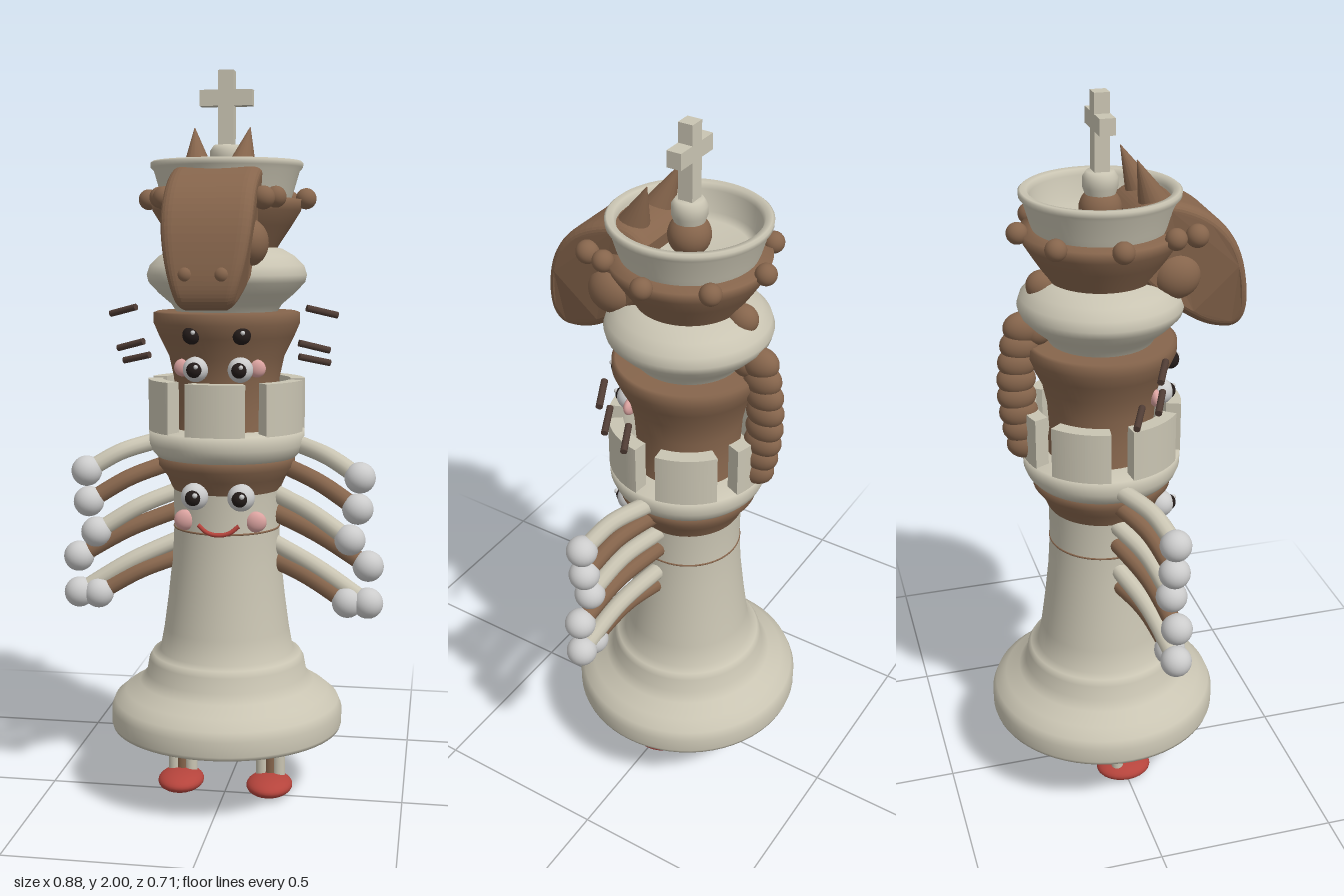
import * as THREE from 'three';

const mat = (color) => new THREE.MeshStandardMaterial({ color, side: THREE.DoubleSide });
const CREAM = mat(0xc9c4b2), BROWN = mat(0x86654c), WHITE = mat(0xd8d8dc), DARK = mat(0x241c1a),
  RED = mat(0xb5443c), PINK = mat(0xdba3a0), STICK = mat(0x4f3c34);
const AXIS = -0.035; // z of the column axis

export function createModel() {
  const root = new THREE.Group();
  const v = (x, y, z) => new THREE.Vector3(x, y, z);

  const add = (name, geo, material, x = 0, y = 0, z = 0) => {
    const m = new THREE.Mesh(geo, material);
    m.name = name;
    m.position.set(x, y, z);
    root.add(m);
    return m;
  };
  const ball = (name, r, material, x, y, z, sx = 1, sy = 1, sz = 1) => {
    const m = add(name, new THREE.SphereGeometry(r, 24, 16), material, x, y, z);
    m.scale.set(sx, sy, sz);
    return m;
  };
  const lathe = (name, pts, material) =>
    add(name, new THREE.LatheGeometry(pts.map(([r, y]) => new THREE.Vector2(r, y)), 64), material, 0, 0, AXIS);
  const rod = (name, a, b, r, material, r2 = r) => {
    const d = b.clone().sub(a);
    const m = add(name, new THREE.CylinderGeometry(r2, r, d.length(), 16), material);
    m.position.copy(a).addScaledVector(d, 0.5);
    m.quaternion.setFromUnitVectors(v(0, 1, 0), d.normalize());
    return m;
  };
  const tube = (name, pts, r, material) =>
    add(name, new THREE.TubeGeometry(new THREE.CatmullRomCurve3(pts), 20, r, 12), material);

  // Base and stem
  lathe('baseAndStem', [[0, 0.2], [0.322, 0.2], [0.325, 0.21], [0.325, 0.25], [0.315, 0.275], [0.285, 0.3], [0.245, 0.325],
    [0.225, 0.35], [0.218, 0.39], [0.208, 0.407], [0.187, 0.415], [0.175, 0.48], [0.163, 0.57], [0.152, 0.67],
    [0.146, 0.77], [0.147, 0.86], [0.15, 0.9]], CREAM);
  lathe('baseUnderside', [[0, 0.198], [0.315, 0.198]], BROWN);
  const seam = add('stemSeam', new THREE.TorusGeometry(0.1455, 0.003, 8, 64), BROWN, 0, 0.767, AXIS);
  seam.rotation.x = Math.PI / 2;

  // Stacked brown and cream sections
  lathe('lowerBrownFlare', [[0.14, 0.86], [0.152, 0.88], [0.165, 0.91], [0.188, 0.94], [0.19, 0.97], [0.15, 0.98]], BROWN);
  lathe('towerCollar', [[0.15, 0.965], [0.192, 0.965], [0.205, 0.98], [0.213, 1.0], [0.215, 1.04], [0.13, 1.045]], CREAM);
  lathe('middleBrownFlare', [[0.15, 1.03], [0.14, 1.1], [0.145, 1.18], [0.158, 1.24], [0.185, 1.295], [0.2, 1.33],
    [0.2, 1.358], [0.19, 1.362], [0.1, 1.362]], BROWN);
  lathe('creamBulge', [[0.135, 1.355], [0.15, 1.38], [0.185, 1.41], [0.213, 1.44], [0.218, 1.46], [0.21, 1.485],
    [0.185, 1.51], [0.15, 1.53], [0.1, 1.54]], CREAM);
  lathe('upperBrownFlare', [[0.125, 1.51], [0.145, 1.545], [0.175, 1.59], [0.2, 1.63], [0.207, 1.66], [0.17, 1.665]], BROWN);
  lathe('topCup', [[0.165, 1.64], [0.18, 1.68], [0.196, 1.735], [0.205, 1.745], [0.206, 1.757], [0.2, 1.762],
    [0.184, 1.76], [0.178, 1.745], [0.168, 1.69], [0.15, 1.675], [0, 1.67]], CREAM);

  // Battlements
  const half = 22 * Math.PI / 180;
  for (let i = 0; i < 6; i++) {
    const a = -Math.PI / 2 + i * Math.PI / 3;
    const s = new THREE.Shape();
    s.absarc(0, 0, 0.215, a - half, a + half, false);
    s.absarc(0, 0, 0.175, a + half, a - half, true);
    const g = new THREE.ExtrudeGeometry(s, { depth: 0.14, bevelEnabled: false, curveSegments: 12 });
    g.rotateX(-Math.PI / 2);
    add('battlement', g, CREAM, 0, 1.038, AXIS);
  }

  // Ring of beads around the crown
  for (let i = 0; i < 8; i++) {
    const a = i * Math.PI / 4;
    ball('crownBead', 0.028, BROWN, 0.215 * Math.sin(a), 1.662, AXIS + 0.215 * Math.cos(a));
  }

  // Finial and cross
  ball('finialBall', 0.055, BROWN, 0, 1.71, AXIS);
  lathe('finialCollar', [[0.03, 1.72], [0.045, 1.765], [0.045, 1.79], [0.035, 1.805], [0, 1.807]], CREAM);
  add('crossPost', new THREE.BoxGeometry(0.042, 0.21, 0.04), CREAM, 0, 1.895, AXIS);
  add('crossBar', new THREE.BoxGeometry(0.142, 0.042, 0.04), CREAM, 0, 1.928, AXIS);

  // Horse head: side profile (z, y) extruded across x, narrowing to the muzzle
  const head = new THREE.Shape();
  head.moveTo(0.04, 1.7);
  head.quadraticCurveTo(0.08, 1.74, 0.15, 1.715);
  head.bezierCurveTo(0.25, 1.68, 0.29, 1.62, 0.31, 1.52);
  head.quadraticCurveTo(0.335, 1.4, 0.3, 1.397);
  head.quadraticCurveTo(0.25, 1.4, 0.2, 1.435);
  head.quadraticCurveTo(0.13, 1.48, 0.06, 1.55);
  head.closePath();
  const hg = new THREE.ExtrudeGeometry(head, { depth: 0.17, bevelThickness: 0.032, bevelSize: 0.02, bevelSegments: 5, curveSegments: 14 });
  hg.translate(0, 0, -0.085);
  hg.rotateY(-Math.PI / 2);
  const p = hg.attributes.position;
  for (let i = 0; i < p.count; i++) {
    const t = THREE.MathUtils.clamp((1.64 - p.getY(i)) / 0.26, 0, 1);
    p.setX(i, p.getX(i) * (1 - 0.42 * t * t));
  }
  hg.computeVertexNormals();
  add('horseHead', hg, BROWN);

  // Mane: scalloped crest down the back
  for (let i = 0; i < 8; i++) {
    const t = i / 7;
    ball('mane', 0.05, BROWN, 0, 1.41 - 0.33 * t, -0.225 - 0.04 * Math.sin(Math.PI * (0.15 + 0.7 * t)), 0.75, 0.85, 1.05);
  }
  for (let i = 0; i < 3; i++) ball('upperMane', 0.04, BROWN, 0, 1.52 - i * 0.06, -0.19 - i * 0.008, 0.9, 1, 1.05);

  // Smile on the lower face
  tube('smile', [v(-0.055, 0.792, 0.108), v(-0.03, 0.773, 0.113), v(0, 0.767, 0.115), v(0.03, 0.773, 0.113), v(0.055, 0.792, 0.108)], 0.006, RED);

  // Arms: hand x, hand y, shoulder x, shoulder y, material
  const arms = [
    [0.375, 0.925, 0.2, 1.0, CREAM], [0.37, 0.84, 0.16, 0.94, BROWN], [0.35, 0.755, 0.13, 0.865, CREAM],
    [0.4, 0.685, 0.13, 0.81, BROWN], [0.4, 0.583, 0.12, 0.73, CREAM], [0.345, 0.583, 0.12, 0.68, BROWN],
  ];

  for (const s of [-1, 1]) {
    for (const [hx, hy, sx, sy, m] of arms) {
      tube('arm', [v(s * sx, sy, -0.03), v(s * (sx + hx) / 2, (sy + hy) / 2 + 0.012, 0.025), v(s * hx, hy, 0.06)], 0.024, m);
      ball('hand', 0.042, WHITE, s * hx, hy, 0.06);
    }

    // Legs and feet
    [[0.103, CREAM], [0.127, BROWN], [0.15, CREAM]].forEach(([x, m]) =>
      rod('leg', v(s * x, 0.03, -0.03), v(s * x, 0.205, -0.03), 0.018, m));
    ball('foot', 1, RED, s * 0.127, 0.029, -0.005, 0.065, 0.029, 0.08);

    // Horse head details
    rod('ear', v(s * 0.053, 1.7, 0.1), v(s * 0.074, 1.845, 0.038), 0.052, BROWN, 0.001);
    ball('horseEye', 0.03, BROWN, s * 0.128, 1.658, 0.18);
    ball('horseCheek', 0.065, BROWN, s * 0.085, 1.545, 0.14, 0.8, 0.95, 1);
    ball('nostril', 0.022, BROWN, s * 0.046, 1.465, 0.325);

    // Lower face
    ball('lowerEye', 0.037, WHITE, s * 0.063, 0.872, 0.117);
    ball('lowerPupil', 0.023, DARK, s * 0.063, 0.872, 0.138);
    ball('lowerGlint', 0.007, WHITE, s * 0.063 + 0.008, 0.881, 0.158);
    ball('lowerBlush', 0.03, PINK, s * 0.097, 0.8, 0.079, 1, 0.95, 0.6);

    // Middle face
    ball('middleEye', 0.034, WHITE, s * 0.06, 1.213, 0.113);
    ball('middlePupil', 0.022, DARK, s * 0.06, 1.213, 0.132);
    ball('middleGlint', 0.006, WHITE, s * 0.06 + 0.007, 1.222, 0.151);
    ball('middleBlush', 0.024, PINK, s * 0.1, 1.215, 0.085, 1, 1, 0.6);
    ball('upperPupil', 0.025, DARK, s * 0.066, 1.305, 0.135);
    ball('upperGlint', 0.006, WHITE, s * 0.066 + 0.007, 1.313, 0.158);

    // Whiskers
    rod('whisker', v(s * 0.23, 1.375, 0.07), v(s * 0.308, 1.355, 0.033), 0.009, STICK);
    rod('whisker', v(s * 0.21, 1.283, 0.07), v(s * 0.288, 1.262, 0.035), 0.009, STICK);
    rod('whisker', v(s * 0.205, 1.243, 0.018), v(s * 0.285, 1.224, -0.02), 0.009, STICK);
  }
  return root;
}
